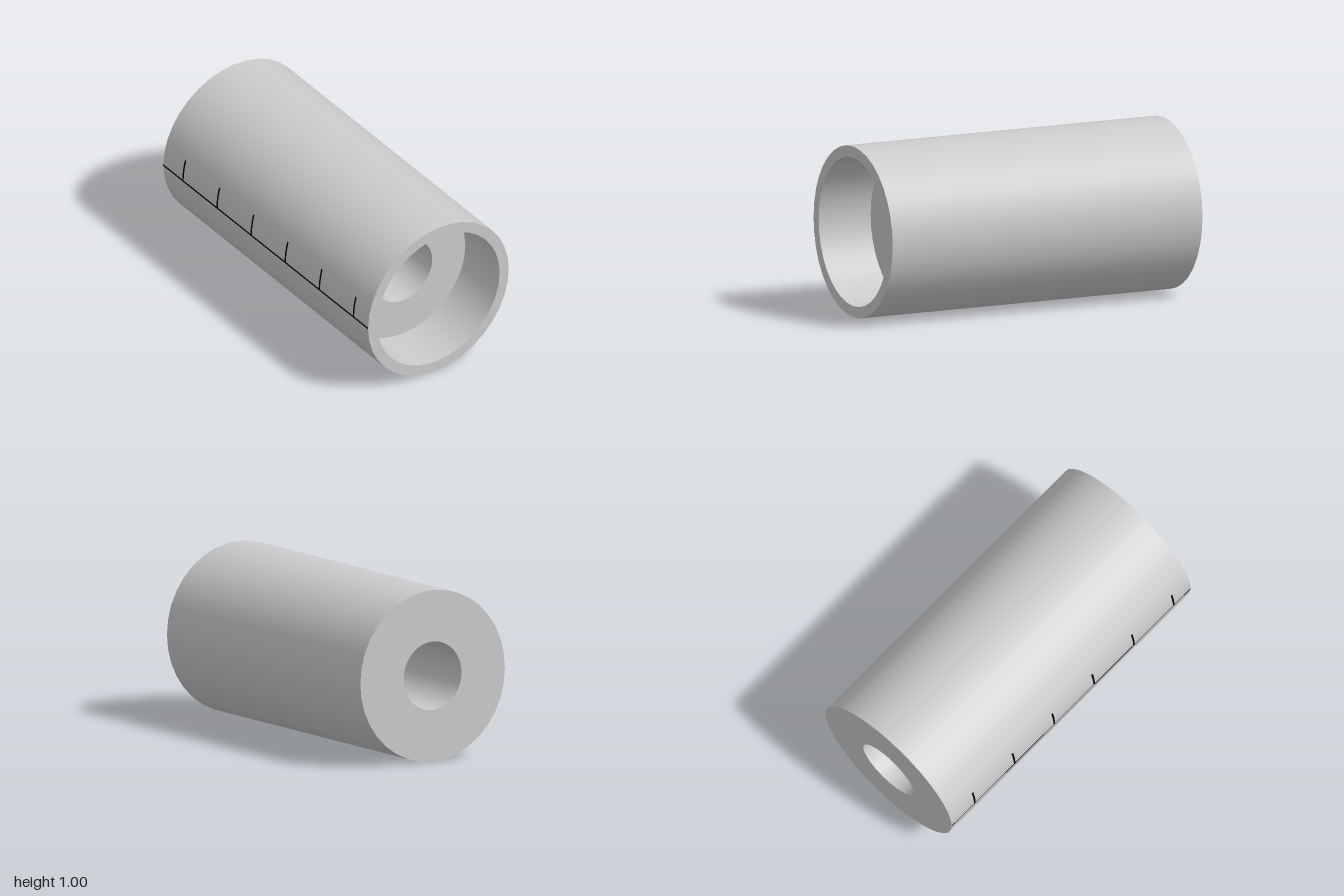
import * as THREE from 'three';

const SIDES = 36;
const R_OUT = 0.5, R_BORE = 0.435, R_HOLE = 0.2;
const HALF = 1, FLOOR = 0.665; // half length, position of the counterbore floor

export function createModel() {
  const model = new THREE.Group();
  model.name = 'scaledSleeve';
  const grey = new THREE.MeshStandardMaterial({ color: 0xcccccc });
  const black = new THREE.MeshStandardMaterial({ color: 0x080808, side: THREE.DoubleSide });

  // Turns a y-axis shape onto the x axis and lifts it so the sleeve rests on y = 0
  const add = (name, geometry, material, parent) => {
    geometry.rotateZ(-Math.PI / 2).translate(0, R_OUT, 0);
    const mesh = new THREE.Mesh(geometry, material);
    mesh.name = name;
    parent.add(mesh);
  };

  // Sleeve: one lathe per wall so every rim stays sharp; [radius, axial position]
  const sleeve = new THREE.Group();
  sleeve.name = 'sleeve';
  model.add(sleeve);
  const profile = [
    ['outerWall', R_OUT, -HALF],
    ['openRim', R_OUT, HALF],
    ['counterboreWall', R_BORE, HALF],
    ['counterboreFloor', R_BORE, FLOOR],
    ['holeWall', R_HOLE, FLOOR],
    ['endFace', R_HOLE, -HALF],
  ];
  profile.forEach(([name, r, y], i) => {
    const [, r2, y2] = profile[(i + 1) % profile.length];
    const points = [new THREE.Vector2(r, y), new THREE.Vector2(r2, y2)];
    add(name, new THREE.LatheGeometry(points, SIDES), grey, sleeve);
  });

  // Measuring scale: thin arcs hugging the front of the outer wall
  const scale = new THREE.Group();
  scale.name = 'scale';
  model.add(scale);
  const arc = (width, start, length, segments) =>
    new THREE.CylinderGeometry(R_OUT + 0.001, R_OUT + 0.001, width, segments, 1, true, start, length);

  add('baseLine', arc(2 * HALF, -0.012, 0.024, 1), black, scale);
  for (let i = 0; i < 6; i++) {
    const tick = arc(0.013, -0.274, 0.274, 6);
    tick.translate(0, -0.807 + i * 0.333, 0);
    add('tick', tick, black, scale);
  }
  return model;
}
